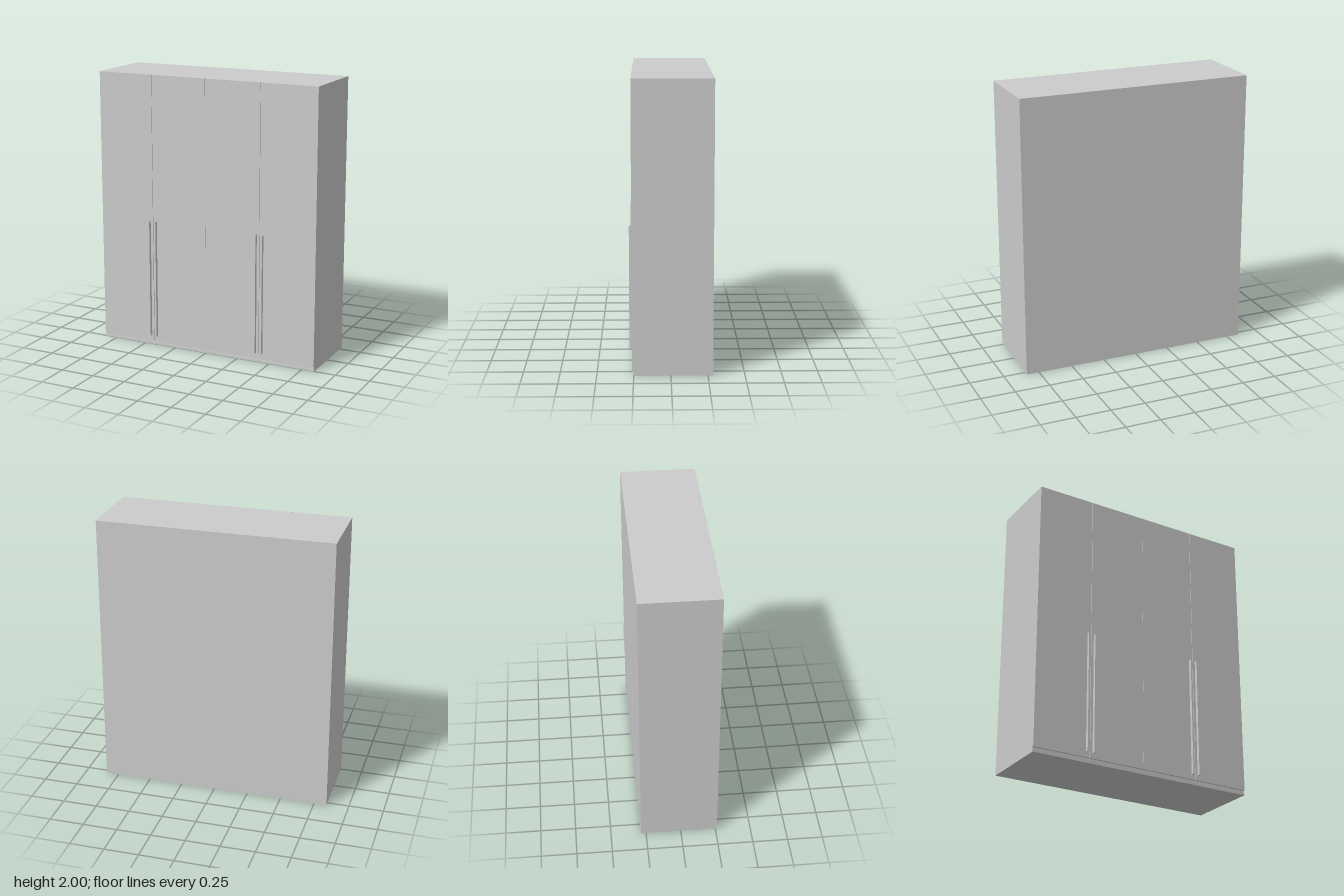
import * as THREE from 'three';

const material = new THREE.MeshStandardMaterial({ color: 0xcccccc });

// Adds a box given by its min and max corners.
function addBox(parent, name, [x0, y0, z0], [x1, y1, z1]) {
  const mesh = new THREE.Mesh(new THREE.BoxGeometry(x1 - x0, y1 - y0, z1 - z0), material);
  mesh.name = name;
  mesh.position.set((x0 + x1) / 2, (y0 + y1) / 2, (z0 + z1) / 2);
  parent.add(mesh);
  return mesh;
}

export function createModel() {
  const wardrobe = new THREE.Group();
  wardrobe.name = 'wardrobe';

  const halfWidth = 0.842, height = 2, back = -0.285, front = 0.262;
  const plinthTop = 0.035, doorBack = 0.24, doorWidth = halfWidth / 2;

  // Carcass with a recessed plinth and a slim floor strip
  addBox(wardrobe, 'carcass', [-halfWidth, plinthTop, back], [halfWidth, height, doorBack]);
  addBox(wardrobe, 'plinth', [-halfWidth, 0, back], [halfWidth, plinthTop, 0.25]);
  addBox(wardrobe, 'floorStrip', [-halfWidth, 0, 0.25], [halfWidth, 0.018, 0.256]);

  // Four flush doors with hairline gaps, hinged in two pairs
  for (let i = 0; i < 4; i++) {
    const left = -halfWidth + i * doorWidth, right = left + doorWidth;
    const leftGap = i === 0 ? 0 : i === 2 ? 0.0003 : 0.0015;
    const rightGap = i === 3 ? 0 : i === 1 ? 0.0003 : 0.0015;
    addBox(wardrobe, 'door', [left + leftGap, plinthTop, doorBack], [right - rightGap, height, front]);

    // Long bar handle beside the seam where the pair meets
    const x = i % 2 === 0 ? right - 0.025 : left + 0.025;
    addBox(wardrobe, 'handle', [x - 0.005, 0.07, front], [x + 0.005, 0.94, 0.285]);
  }
  return wardrobe;
}
